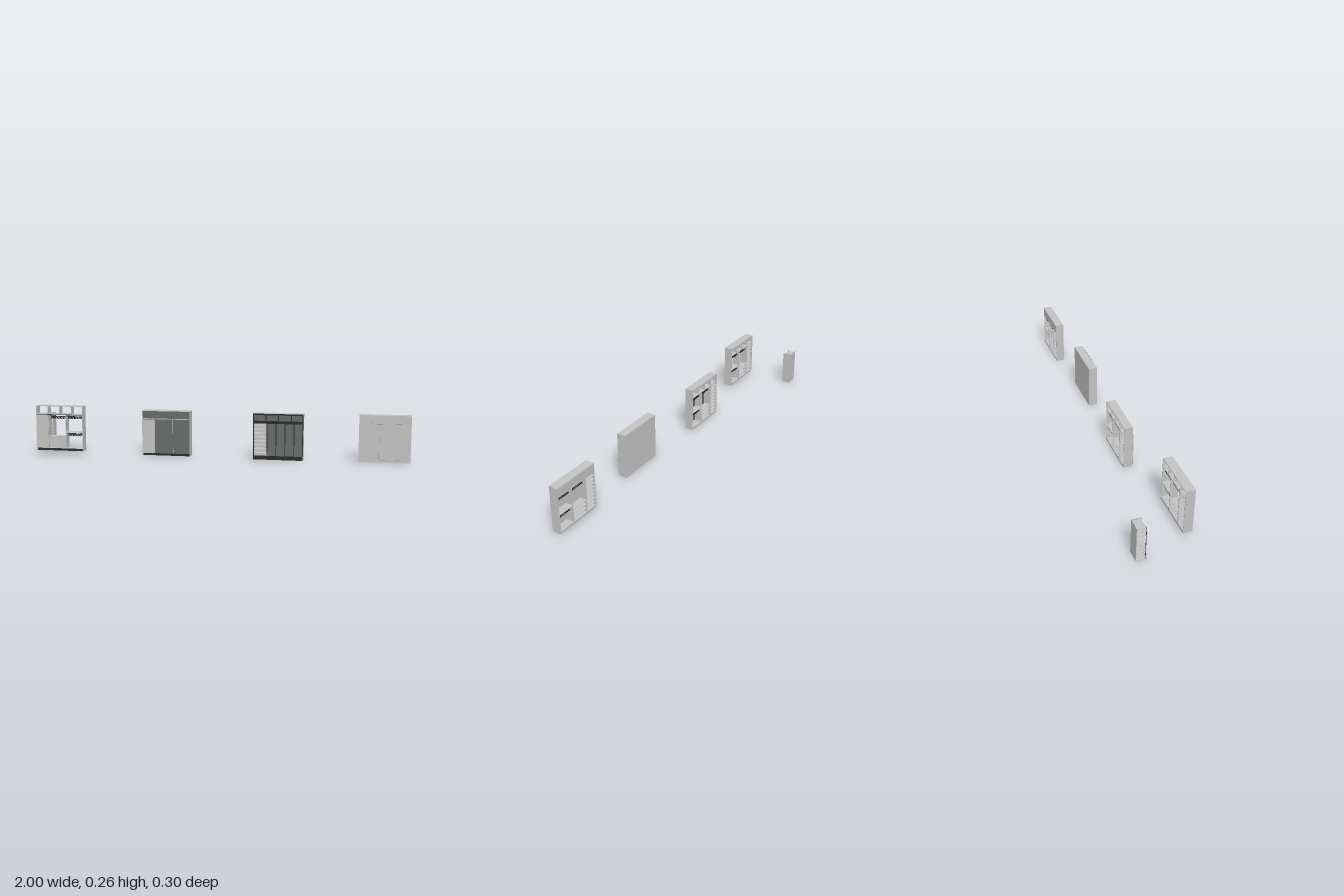
import * as THREE from 'three';

const mat = (name, color) => {
  const m = new THREE.MeshStandardMaterial({ color });
  m.name = name;
  return m;
};

export function createModel() {
  const light = mat('light panel', 0xc2c2c2);
  const dark = mat('dark door', 0x676b6a);
  const black = mat('black trim', 0x2c2c2e);
  const metal = mat('hanger black', 0x141414);
  const seam = mat('seam grey', 0x8a8a8a);

  const W = 0.255, H = 0.236, D = 0.046, T = 0.003;
  const COL = [0, 0.066, 0.161, W];   // column boundaries
  const TOP = 0.193, FLOOR = 0.012;

  // Box given by its min and max corners
  const box = (parent, name, m, x0, x1, y0, y1, z0, z1) => {
    const mesh = new THREE.Mesh(new THREE.BoxGeometry(x1 - x0, y1 - y0, z1 - z0), m);
    mesh.position.set((x0 + x1) / 2, (y0 + y1) / 2, (z0 + z1) / 2);
    mesh.name = name;
    parent.add(mesh);
    return mesh;
  };

  // Triangular hanger outline standing across the rod
  const shape = new THREE.Shape([[-0.016, -0.011], [0.016, -0.011], [0.016, -0.009], [0.001, 0.001], [-0.001, 0.001], [-0.016, -0.009]]
    .map(p => new THREE.Vector2(...p)));
  shape.holes.push(new THREE.Path([[-0.011, -0.0093], [0, -0.002], [0.011, -0.0093]].map(p => new THREE.Vector2(...p))));
  const hangerGeo = new THREE.ExtrudeGeometry(shape, { depth: 0.0015, bevelEnabled: false });
  hangerGeo.rotateY(Math.PI / 2);

  const rail = (parent, x0, x1, y) => {
    const rod = new THREE.Mesh(new THREE.CylinderGeometry(0.001, 0.001, x1 - x0, 8), metal);
    rod.rotation.z = Math.PI / 2;
    rod.position.set((x0 + x1) / 2, y, D / 2);
    rod.name = 'clothesRail';
    parent.add(rod);
    for (let i = 0; i < 9; i++) {
      const h = new THREE.Mesh(hangerGeo, metal);
      h.position.set(x0 + (x1 - x0) * (0.12 + 0.09 * i), y - 0.001, D / 2);
      h.name = 'hanger';
      parent.add(h);
    }
  };

  // Shared carcass and interior; local origin at the left, bottom, back corner
  const carcass = (name, x, y, z, trim) => {
    const g = new THREE.Group();
    g.name = name;
    g.position.set(x, y, z);
    for (const px of [0, W - T]) box(g, 'sidePanel', light, px, px + T, 0, H, 0, D);
    box(g, 'topPanel', light, T, W - T, H - T, H, 0, D);
    box(g, 'topShelf', light, T, W - T, TOP - 0.005, TOP, 0, D - 0.004);
    box(g, 'floorPanel', light, T, W - T, FLOOR - T, FLOOR, 0, D - 0.004);
    // plinth rails and ribs
    box(g, 'frontPlinth', trim, T, W - T, 0, FLOOR, D - 0.006, D - 0.003);
    box(g, 'backPlinth', light, T, W - T, 0, FLOOR - T, 0, T);
    for (let i = 1; i < 6; i++) box(g, 'plinthRib', light, W * i / 6 - 0.001, W * i / 6 + 0.001, 0, FLOOR - T, T, D - 0.006);
    // upper box dividers and column walls
    for (let i = 1; i < 4; i++) box(g, 'upperDivider', light, W * i / 4 - 0.001, W * i / 4 + 0.001, TOP, H - T, 0, D - 0.005);
    for (const c of [COL[1], COL[2]]) box(g, 'columnWall', light, c - 0.0015, c + 0.0015, FLOOR, TOP - 0.005, 0, D - 0.005);
    // shelf column
    for (let i = 1; i < 9; i++) {
      const sy = FLOOR + (TOP - FLOOR) * i / 9;
      box(g, 'shelf', light, T, COL[1], sy - 0.001, sy + 0.001, 0, D - 0.006);
    }
    // drawers in the middle column
    for (let i = 0; i < 3; i++) {
      const dy = FLOOR + 0.021 * i;
      box(g, 'drawerFront', light, COL[1] + 0.002, COL[2] - 0.002, dy + 0.001, dy + 0.02, D - 0.01, D - 0.007);
      box(g, 'drawerShelf', light, COL[1], COL[2], dy + 0.0195, dy + 0.0215, 0, D - 0.01);
    }
    // hanging spaces
    box(g, 'middleShelf', light, COL[2], W - T, 0.097, 0.1, 0, D - 0.006);
    rail(g, COL[1], COL[2], 0.18);
    rail(g, COL[2], W - T, 0.18);
    rail(g, COL[2], W - T, 0.09);
    return g;
  };

  const root = new THREE.Group();
  root.name = 'wardrobeSet';

  // Open wardrobe with a single door on the shelf column
  const open = carcass('openWardrobe', -0.925, 0.022, 0.104, black);
  box(open, 'shelfDoor', light, 0, COL[1], FLOOR, TOP - 0.005, D - 0.004, D);
  box(open, 'topShelfTrim', black, T, W - T, TOP - 0.005, TOP - 0.002, D - 0.004, D - 0.002);

  // Sliding wardrobe with dark doors and one light door in front
  const sliding = carcass('slidingWardrobe', -0.37, 0, 0.03, black);
  const half = W / 2;
  for (const [a, b] of [[T, half - 0.0006], [half + 0.0006, W - T]])
    box(sliding, 'upperDoor', dark, a, b, TOP + 0.002, H - T, D - 0.003, D);
  box(sliding, 'doorTrack', light, 0, W, TOP - 0.002, TOP + 0.002, D - 0.003, D + 0.0005);
  for (const [a, b] of [[T, 0.163], [0.165, W - T]])
    box(sliding, 'lowerDoor', dark, a, b, FLOOR, TOP - 0.002, D - 0.003, D);
  box(sliding, 'doorEdge', light, 0.163, 0.165, FLOOR, TOP - 0.002, D - 0.003, D + 0.0005);
  box(sliding, 'frontDoor', light, 0, 0.068, FLOOR, TOP - 0.004, D + 0.001, D + 0.004);

  // Framed wardrobe with a back panel, narrow dark doors and open shelves
  const framed = carcass('framedWardrobe', 0.215, 0, 0.047, black);
  box(framed, 'backPanel', light, 0, W, FLOOR - T, H, -0.0005, 0.002);
  for (const [a, b] of [[0, 0.02], [TOP - 0.008, TOP + 0.006], [H - 0.008, H - 0.0005]])
    box(framed, 'frameRail', black, 0.001, W - 0.001, a, b, D - 0.002, D + 0.0005);
  for (let i = 0; i < 4; i++) {
    const a = 0.07 + 0.0455 * i, u = W * i / 4;
    box(framed, 'narrowDoor', dark, a + 0.003, a + 0.0455, 0.02, TOP - 0.008, D - 0.004, D - 0.001);
    box(framed, 'frameStile', black, a, a + 0.004, 0.02, TOP - 0.008, D - 0.002, D + 0.0005);
    box(framed, 'upperDoor', dark, u + T, u + W / 4, TOP + 0.006, H - 0.008, D - 0.004, D - 0.001);
    box(framed, 'upperStile', black, u + 0.0005, u + 0.005, TOP + 0.006, H - 0.008, D - 0.002, D + 0.0005);
  }
  for (const px of [0.0005, W - 0.005])
    box(framed, 'endStile', black, px, px + 0.0045, 0.02, H - 0.008, D - 0.002, D + 0.0005);

  // Closed wardrobe with light doors, thin seams and a back on the upper box
  const closed = carcass('closedWardrobe', 0.745, 0, 0.018, light);
  box(closed, 'doorFace', light, T, W - T, 0, H - T, D - 0.004, D - 0.0002);
  box(closed, 'upperBack', light, T, W - T, TOP, H - T, 0, 0.002);
  const s = 0.0004;
  for (const y of [FLOOR, TOP]) box(closed, 'doorSeam', seam, 0.066, W - T, y - s, y + s, D - 0.001, D);
  box(closed, 'doorSeam', seam, 0.1 - s, 0.1 + s, FLOOR, TOP, D - 0.001, D);
  for (const x of [0.066, 0.19]) box(closed, 'upperSeam', seam, x - s, x + s, TOP, H - T, D - 0.001, D);

  // Shelf tower, open at the front and at its right side
  const tower = new THREE.Group();
  tower.name = 'shelfTower';
  tower.position.set(-1, 0, -0.15);
  root.add(tower);
  const tw = 0.066, th = 0.184;
  box(tower, 'backPanel', light, 0, tw, 0, th, 0, 0.002);
  box(tower, 'sidePanel', light, tw - 0.002, tw, 0, th, 0.002, D);
  box(tower, 'post', black, 0, 0.002, 0, th, D - 0.002, D);
  box(tower, 'base', light, 0, tw - 0.002, 0, 0.003, 0.002, D);
  for (const y of [0.02, 0.042, 0.06, 0.08, 0.105, 0.137, 0.16, 0.176]) {
    box(tower, 'shelf', light, 0.002, tw - 0.002, y - 0.001, y + 0.001, 0.002, D - 0.004);
    box(tower, 'shelfEdge', seam, 0.002, tw - 0.002, y - 0.001, y + 0.001, D - 0.004, D - 0.003);
  }

  root.add(open, sliding, framed, closed);
  return root;
}
